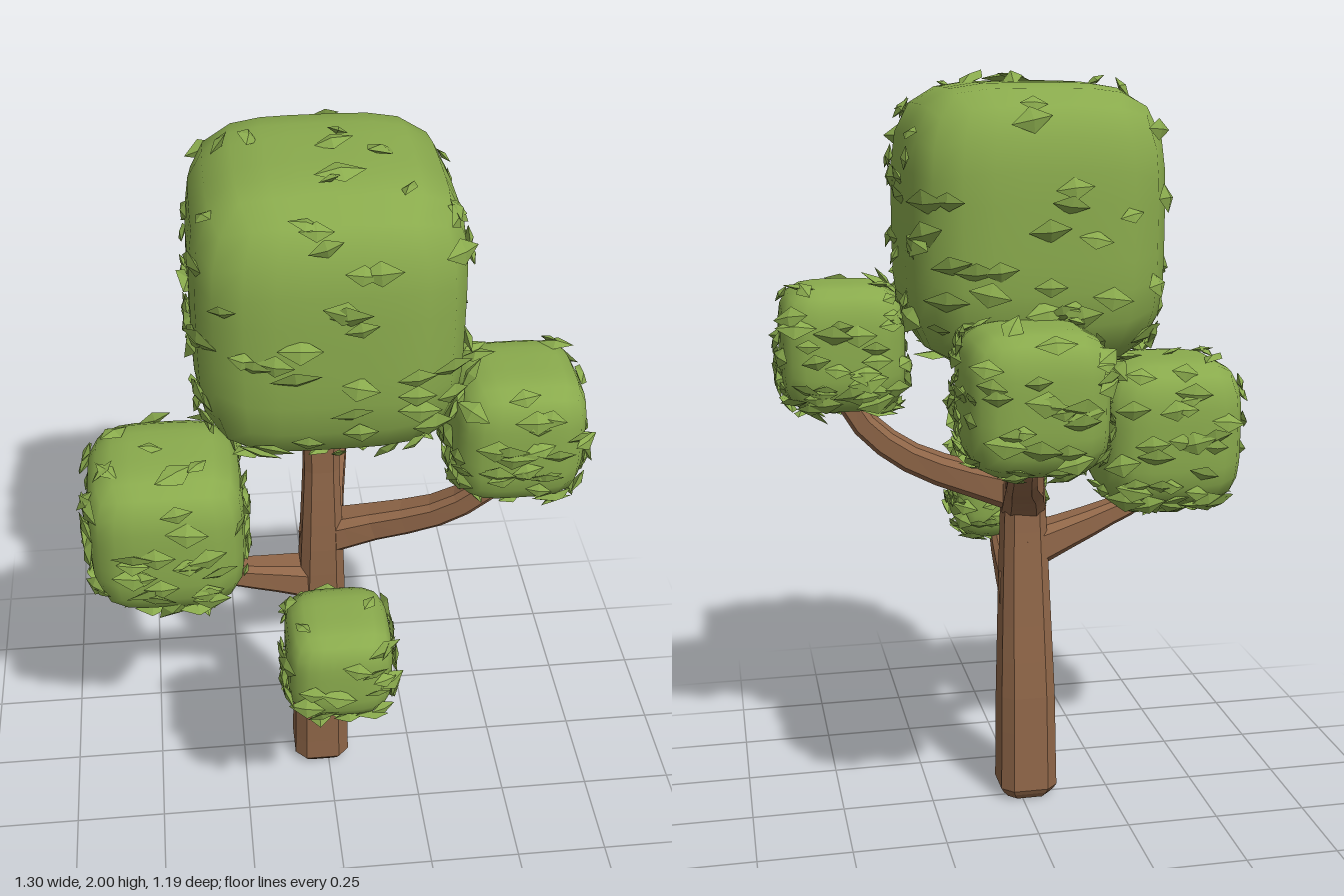
import * as THREE from 'three';
import { mergeGeometries, mergeVertices } from 'three/addons/utils/BufferGeometryUtils.js';

// small seeded random generator
let seed = 7;
const rand = () => {
  seed = (seed * 16807) % 2147483647;
  return seed / 2147483647;
};
const spread = (a) => (rand() * 2 - 1) * a;

const bark = new THREE.MeshStandardMaterial({ color: 0x8f6648 });
bark.name = 'bark brown';
bark.flatShading = true;
const green = new THREE.MeshStandardMaterial({ color: 0x8aab4d });
green.name = 'leaf green';

// limb with a bevelled square section: stations are [x, y, z, radius]
function limb(name, stations, steps) {
  const curve = new THREE.CatmullRomCurve3(stations.map(([x, y, z]) => new THREE.Vector3(x, y, z)));
  const last = stations.length - 1;
  const pos = [], index = [], sides = 8;
  for (let i = 0; i <= steps; i++) {
    const t = i / steps, s = t * last, k = Math.min(Math.floor(s), last - 1);
    const r = THREE.MathUtils.lerp(stations[k][3], stations[k + 1][3], s - k);
    const c = curve.getPoint(t), dir = curve.getTangent(t);
    const ref = Math.abs(stations[last][1] - stations[0][1]) > 1
      ? new THREE.Vector3(0, 0, 1) : new THREE.Vector3(0, 1, 0);
    const u = new THREE.Vector3().crossVectors(ref, dir).normalize();
    const v = new THREE.Vector3().crossVectors(dir, u);
    for (let j = 0; j < sides; j++) {
      // wide flat faces alternate with narrow corner bevels
      const a = Math.floor(j / 2) * Math.PI / 2 + (j % 2 ? 0.55 : -0.55);
      const p = c.clone().addScaledVector(u, Math.cos(a) * r * 1.16).addScaledVector(v, Math.sin(a) * r * 1.16);
      pos.push(p.x, p.y, p.z);
    }
  }
  for (let i = 0; i < steps; i++) for (let j = 0; j < sides; j++) {
    const a = i * sides + j, b = i * sides + (j + 1) % sides;
    index.push(a, b, b + sides, a, b + sides, a + sides);
  }
  const end = steps * sides;
  for (let j = 1; j < sides - 1; j++) index.push(0, j + 1, j, end, end + j, end + j + 1);
  const g = new THREE.BufferGeometry();
  g.setAttribute('position', new THREE.Float32BufferAttribute(pos, 3));
  g.setIndex(index);
  g.computeVertexNormals();
  const mesh = new THREE.Mesh(g, bark);
  mesh.name = name;
  return mesh;
}

// pushes a direction onto the surface of a soft rounded cube
const POWER = 4.2;
function onPuff(d, half) {
  const n = Math.pow(Math.abs(d.x) ** POWER + Math.abs(d.y) ** POWER + Math.abs(d.z) ** POWER, 1 / POWER);
  return d.clone().divideScalar(n).multiply(half);
}

// rounded cube of foliage with a scatter of diamond leaves, denser underneath
function foliage(name, center, size, leafCount, leafSize) {
  const group = new THREE.Group();
  group.name = name;
  const half = new THREE.Vector3(...size);

  let core = new THREE.BoxGeometry(2, 2, 2, 8, 8, 8);
  core.deleteAttribute('uv');
  core.deleteAttribute('normal');
  core = mergeVertices(core);
  const p = core.attributes.position, v = new THREE.Vector3();
  for (let i = 0; i < p.count; i++) {
    v.fromBufferAttribute(p, i);
    // even out the spacing around the rounded edges
    v.set(Math.tan(v.x * 0.785), Math.tan(v.y * 0.785), Math.tan(v.z * 0.785));
    v.copy(onPuff(v, half));
    p.setXYZ(i, v.x, v.y, v.z);
  }
  core.computeVertexNormals();
  const coreMesh = new THREE.Mesh(core, green);
  coreMesh.name = name + 'Core';

  const leaves = [];
  const up = new THREE.Vector3(0, 1, 0);
  for (let i = 0; i < leafCount; i++) {
    const y = 1 - 2 * Math.pow(rand(), 0.65), a = rand() * Math.PI * 2, r = Math.sqrt(1 - y * y);
    const q = onPuff(new THREE.Vector3(Math.cos(a) * r, y, Math.sin(a) * r), half);
    const n = new THREE.Vector3(
      ...['x', 'y', 'z'].map((k) => Math.sign(q[k]) * Math.abs(q[k] / half[k]) ** (POWER - 1)),
    ).normalize();
    const side = new THREE.Vector3().crossVectors(up, n).normalize();
    const rise = new THREE.Vector3().crossVectors(n, side);
    const m = new THREE.Matrix4().makeBasis(side, rise, n).setPosition(q.addScaledVector(n, 0.008));
    const twist = Math.abs(n.y) > 0.8 ? Math.PI : 0.25;
    m.multiply(new THREE.Matrix4().makeRotationFromEuler(
      new THREE.Euler(spread(0.6), spread(0.25), spread(twist))));
    const s = leafSize * (0.7 + rand() * 0.6);
    leaves.push(new THREE.OctahedronGeometry(1).scale(s, s * 0.58, s * 0.2).applyMatrix4(m));
  }
  const leafMesh = new THREE.Mesh(mergeGeometries(leaves), green);
  leafMesh.name = name + 'Leaves';

  group.add(coreMesh, leafMesh);
  group.position.set(...center);
  return group;
}

export function createModel() {
  const tree = new THREE.Group();
  tree.name = 'tree';

  // trunk and its four branches
  tree.add(
    limb('trunk', [
      [-0.02, 0, 0.022, 0.058], [-0.02, 0.03, 0.022, 0.08], [-0.02, 0.3, 0.03, 0.076],
      [-0.02, 0.6, 0.05, 0.066], [-0.02, 0.85, 0.062, 0.057], [-0.02, 1.1, 0.06, 0.046],
      [-0.02, 1.4, 0.05, 0.052],
    ], 18),
    limb('frontBranch', [
      [-0.02, 0.6, 0.05, 0.07], [-0.02, 0.59, 0.17, 0.052], [-0.02, 0.6, 0.29, 0.038],
      [-0.02, 0.66, 0.4, 0.03], [-0.02, 0.75, 0.45, 0.025],
    ], 8),
    limb('rightBranch', [
      [-0.02, 0.71, 0.055, 0.058], [-0.14, 0.745, 0.075, 0.045], [-0.27, 0.785, 0.1, 0.033],
      [-0.38, 0.83, 0.12, 0.026], [-0.43, 0.93, 0.13, 0.024],
    ], 8),
    limb('leftBranch', [
      [-0.02, 0.87, 0.06, 0.055], [0.12, 0.91, 0.08, 0.044], [0.28, 0.968, 0.12, 0.038],
      [0.4, 1.06, 0.15, 0.034], [0.47, 1.18, 0.165, 0.03],
    ], 8),
    limb('backBranch', [
      [-0.02, 0.85, 0.06, 0.06], [0.0, 0.92, -0.05, 0.052], [0.03, 0.965, -0.17, 0.042],
      [0.05, 1.03, -0.28, 0.036], [0.06, 1.14, -0.37, 0.03],
    ], 8),
  );

  // foliage puffs
  tree.add(
    foliage('crown', [-0.01, 1.615, 0.008], [0.33, 0.355, 0.337], 170, 0.05),
    foliage('rightFoliage', [-0.43, 1.02, 0.13], [0.2, 0.205, 0.198], 130, 0.046),
    foliage('leftFoliage', [0.457, 1.28, 0.163], [0.165, 0.17, 0.163], 120, 0.044),
    foliage('backFoliage', [0.055, 1.235, -0.397], [0.175, 0.177, 0.175], 120, 0.044),
    foliage('frontFoliage', [-0.015, 0.785, 0.442], [0.133, 0.135, 0.133], 100, 0.038),
  );
  return tree;
}
